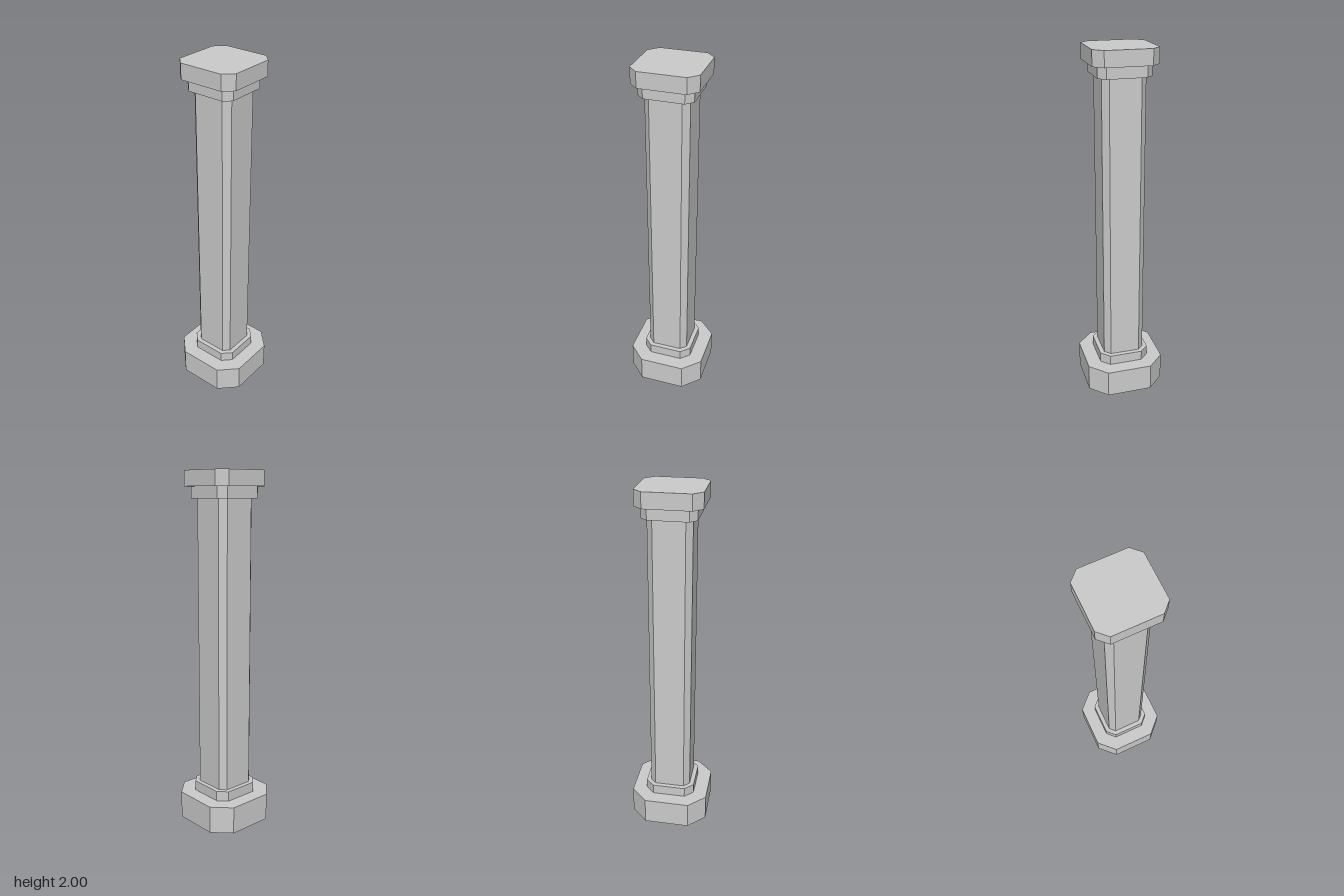
import * as THREE from 'three';

const material = new THREE.MeshStandardMaterial({ color: 0xcccccc, flatShading: true });

// Upright block with a chamfered square plan: half = half width, flat = half length of each main side
function chamferedBlock(name, half, flat, bottom, top) {
  const shape = new THREE.Shape([
    [flat, -half], [half, -flat], [half, flat], [flat, half],
    [-flat, half], [-half, flat], [-half, -flat], [-flat, -half],
  ].map(([x, y]) => new THREE.Vector2(x, y)));
  const geometry = new THREE.ExtrudeGeometry(shape, { depth: top - bottom, bevelEnabled: false });
  geometry.rotateX(-Math.PI / 2).translate(0, bottom, 0);
  const mesh = new THREE.Mesh(geometry, material);
  mesh.name = name;
  return mesh;
}

export function createModel() {
  const column = new THREE.Group();
  column.name = 'column';
  column.add(
    chamferedBlock('base', 0.226, 0.13, 0, 0.158),
    chamferedBlock('lowerCollar', 0.145, 0.096, 0.158, 0.216),
    chamferedBlock('shaft', 0.119, 0.086, 0.216, 1.853),
    chamferedBlock('upperCollar', 0.145, 0.107, 1.853, 1.916),
    chamferedBlock('capital', 0.176, 0.126, 1.916, 2),
  );
  return column;
}
